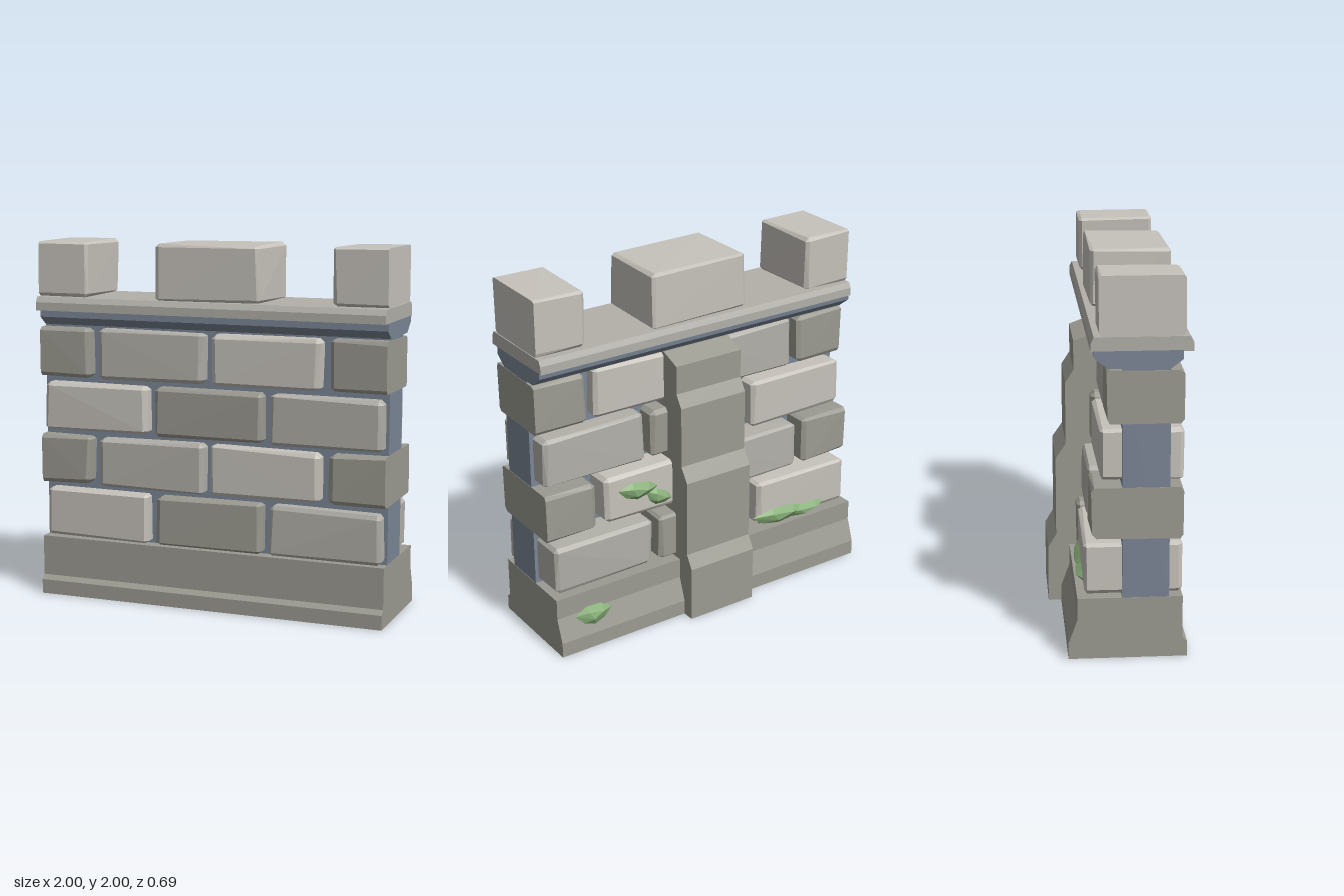
import * as THREE from 'three';
import { ConvexGeometry } from 'three/addons/geometries/ConvexGeometry.js';

const mat = (color) => new THREE.MeshStandardMaterial({ color, flatShading: true });
const LIGHT = mat(0xc6c2bb), MID = mat(0xb2b0a9), DARK = mat(0x9c9b92);
const MORTAR = mat(0x7b8696), MOSS = mat(0x86ad76);

// Small seeded generator for chipped stone edges
let seed = 7;
const rand = () => {
  seed = (seed * 16807) % 2147483647;
  return seed / 2147483647;
};
const jitter = (a) => (rand() - 0.5) * 2 * a;

function add(group, name, geometry, material) {
  const mesh = new THREE.Mesh(geometry, material);
  mesh.name = name;
  group.add(mesh);
  return mesh;
}

// Extrude a (z, y) profile along x, centred on x = 0
function profile(points, width) {
  const shape = new THREE.Shape(points.map(([z, y]) => new THREE.Vector2(z, y)));
  const g = new THREE.ExtrudeGeometry(shape, { depth: width, bevelEnabled: false });
  return g.rotateY(-Math.PI / 2).translate(width / 2, 0, 0);
}

// Chamfered, slightly uneven stone; ends lying on x = +-1 are cut flat
function stone(x0, x1, y0, y1, z0, z1, c = 0.017) {
  const pts = [];
  for (const sx of [-1, 1]) for (const sy of [-1, 1]) for (const sz of [-1, 1]) {
    const X = sx < 0 ? x0 : x1, Y = sy < 0 ? y0 : y1, Z = sz < 0 ? z0 : z1;
    const cut = Math.abs(X) === 1;
    const dx = cut ? 0 : sx * (c + rand() * 0.012);
    const dy = sy * (c + jitter(0.007)), dz = sz * (c + jitter(0.007));
    const ox = cut ? 0 : -sx * rand() * 0.012;
    const oy = -sy * rand() * 0.01, oz = -sz * rand() * 0.008;
    pts.push(new THREE.Vector3(X + ox - dx, Y + oy, Z + oz - dz));
    pts.push(new THREE.Vector3(X + ox - dx, Y + oy - dy, Z + oz));
    if (!cut) pts.push(new THREE.Vector3(X + ox, Y + oy - dy, Z + oz - dz));
  }
  return new ConvexGeometry(pts);
}

// Faceted moss clump with a pointed outline, bulging toward -z
function mossClump(x, y, z, w, h, d, tilt) {
  const outline = [[-1, 0.2], [-0.45, 0.9], [0.3, 1], [1, 0.3], [0.6, -0.6], [0, -1], [-0.6, -0.55]];
  const pts = outline.map(([u, v]) => new THREE.Vector3(u * w / 2, v * h / 2, 0));
  pts.push(
    new THREE.Vector3(-0.2 * w, 0.08 * h, -d),
    new THREE.Vector3(0.18 * w, 0.2 * h, -d * 0.85),
    new THREE.Vector3(0.06 * w, -0.2 * h, -d * 0.9),
    new THREE.Vector3(0, 0, d * 0.6),
  );
  return new ConvexGeometry(pts).rotateZ(tilt).translate(x, y, z);
}

export function createModel() {
  const wall = new THREE.Group();
  wall.name = 'castleWall';

  // Plinth, mortar core and moulded coping
  add(wall, 'plinth', profile([
    [0.335, 0], [0.335, 0.08], [0.31, 0.105], [0.31, 0.33],
    [-0.228, 0.33], [-0.228, 0.215], [-0.275, 0.085], [-0.275, 0],
  ], 2), DARK);
  add(wall, 'mortarCore', profile([[0.24, 0.3], [0.24, 1.55], [0, 1.55], [0, 0.3]], 1.996), MORTAR);
  add(wall, 'corniceMoulding', profile([
    [0.24, 1.53], [0.3, 1.575], [0.3, 1.62], [-0.145, 1.62], [-0.14, 1.585], [-0.07, 1.53],
  ], 2), MORTAR);
  add(wall, 'copingSlab', profile([
    [0.35, 1.615], [0.35, 1.66], [0.333, 1.69], [-0.142, 1.69], [-0.157, 1.66], [-0.157, 1.615],
  ], 2), MID);

  // Brick courses, thinning toward the top on the back
  const whole = [[-0.98, -0.35, LIGHT], [-0.31, 0.32, DARK], [0.355, 0.985, MID]];
  const offset = [[-1, -0.69, DARK], [-0.65, -0.015, MID], [0.015, 0.645, LIGHT], [0.685, 1, DARK]];
  const courses = [
    [0.335, 0.615, -0.195, whole], [0.64, 0.92, -0.16, offset],
    [0.94, 1.22, -0.115, whole], [1.24, 1.525, -0.08, offset],
  ];
  const bricks = new THREE.Group();
  bricks.name = 'bricks';
  wall.add(bricks);
  courses.forEach(([y0, y1, back, row]) => {
    for (const [x0, x1, m] of row) add(bricks, 'brick', stone(x0, x1, y0, y1, back, 0.315), m);
  });

  // Battlements
  for (const [x0, x1] of [[-1, -0.7], [-0.305, 0.305], [0.695, 1]])
    add(wall, 'merlon', stone(x0, x1, 1.685, 2, -0.12, 0.313, 0.014), LIGHT);

  // Stepped buttress on the back
  add(wall, 'buttress', profile([
    [0.05, 0], [0.05, 1.53], [-0.08, 1.53], [-0.2, 1.485], [-0.2, 1.325], [-0.245, 1.255],
    [-0.245, 0.91], [-0.3, 0.83], [-0.3, 0.39], [-0.345, 0.315], [-0.345, 0],
  ], 0.42), DARK);

  // Moss clumps on the back
  const moss = new THREE.Group();
  moss.name = 'moss';
  wall.add(moss);
  add(moss, 'plinthMoss', mossClump(0.78, 0.18, 0, 0.23, 0.11, 0.035, 0)
    .rotateX(0.3).translate(0, 0.01, -0.295), MOSS);
  add(moss, 'upperMoss', mossClump(0.43, 0.795, -0.152, 0.27, 0.11, 0.035, 0.1), MOSS);
  add(moss, 'upperMoss', mossClump(0.3, 0.72, -0.152, 0.2, 0.1, 0.03, 0.4), MOSS);
  add(moss, 'ledgeMoss', mossClump(-0.52, 0.375, -0.185, 0.4, 0.11, 0.035, 0.04), MOSS);
  add(moss, 'ledgeMoss', mossClump(-0.7, 0.36, -0.185, 0.3, 0.08, 0.04, -0.05), MOSS);

  return wall;
}
